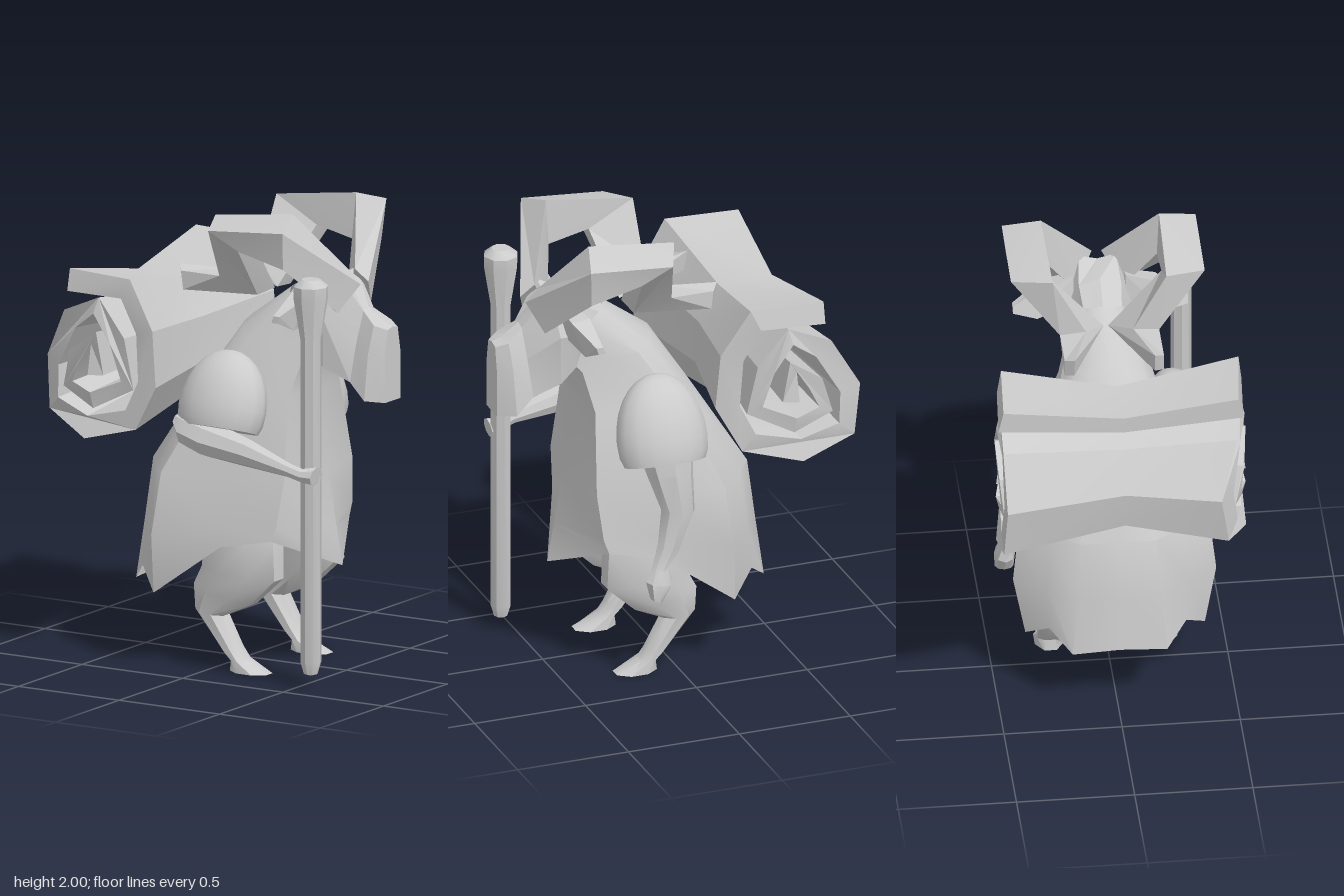
import * as THREE from 'three';
import { toCreasedNormals } from 'three/addons/utils/BufferGeometryUtils.js';

const mat = new THREE.MeshStandardMaterial({ color: 0xcccccc, side: THREE.DoubleSide });

function part(parent, name, geometry, crease = 0.6) {
  const mesh = new THREE.Mesh(toCreasedNormals(geometry, crease), mat);
  mesh.name = name;
  parent.add(mesh);
  return mesh;
}

// Skin a list of closed rings (arrays of [x, y, z]), optionally capped by fans
function loft(rings, capped = true) {
  const n = rings[0].length, pos = rings.flat(2), idx = [];
  for (let r = 0; r < rings.length - 1; r++) {
    for (let i = 0; i < n; i++) {
      const a = r * n + i, b = r * n + (i + 1) % n;
      idx.push(a, b, b + n, a, b + n, a + n);
    }
  }
  if (capped) {
    const last = (rings.length - 1) * n;
    for (let i = 1; i < n - 1; i++) {
      idx.push(0, i + 1, i, last, last + i, last + i + 1);
    }
  }
  const g = new THREE.BufferGeometry();
  g.setAttribute('position', new THREE.Float32BufferAttribute(pos, 3));
  g.setIndex(idx);
  return g;
}

// Oval sections: [x1, y1, x2, y2, z, half width], the two points being opposite edges
function ovals(rows, turn = 0) {
  return loft(rows.map(([x1, y1, x2, y2, z, w]) => Array.from({ length: 8 }, (_, i) => {
    const a = (i / 8) * Math.PI * 2 + turn, c = Math.cos(a) / 2;
    return [(x1 + x2) / 2 + (x1 - x2) * c, (y1 + y2) / 2 + (y1 - y2) * c, z + w * Math.sin(a)];
  })));
}

// Half rings from one midline point to the other, mirrored across z
const mirrorRing = half => [...half, ...half.slice(1, -1).reverse().map(([x, y, z]) => [x, y, -z])];

function bundleGeometry() {
  // Spiral blanket, thickened from a centre line
  const line = [[-0.57, 1.65], [-0.27, 1.65], [-0.18, 1.47], [-0.16, 1.25], [-0.24, 1.09], [-0.47, 1.03],
    [-0.67, 1.1], [-0.69, 1.28], [-0.57, 1.48], [-0.42, 1.56], [-0.31, 1.42], [-0.27, 1.23], [-0.44, 1.15],
    [-0.58, 1.2], [-0.53, 1.33], [-0.43, 1.42], [-0.42, 1.26]].map(p => new THREE.Vector2(...p));
  const outer = [], inner = [];
  line.forEach((p, i) => {
    const d = line[Math.min(i + 1, line.length - 1)].clone().sub(line[Math.max(i - 1, 0)]).normalize();
    const t = i < 9 ? 0.047 : 0.035;
    outer.push(new THREE.Vector2(p.x - d.y * t, p.y + d.x * t));
    inner.push(new THREE.Vector2(p.x + d.y * t, p.y - d.x * t));
  });
  const g = new THREE.ExtrudeGeometry(new THREE.Shape([...outer, ...inner.reverse()]),
    { depth: 2, steps: 2, bevelEnabled: false });
  g.translate(0, 0, -1);
  // Pinch the middle; slant the ends and leave them slightly ragged
  const p = g.attributes.position;
  for (let i = 0; i < p.count; i++) {
    const x = p.getX(i), y = p.getY(i), z = p.getZ(i);
    const s = 0.76 + 0.24 * Math.abs(z);
    const slant = Math.max(0, -z * (x + 0.42) / 0.3);
    const end = 0.52 - 0.1 * slant ** 2 + 0.012 * Math.sin(17 * x + 23 * y);
    p.setXYZ(i, -0.42 + (x + 0.42) * s, 1.33 + (y - 1.33) * s, z * end);
  }
  g.deleteAttribute('uv');
  return g;
}

// Dome with a flat underside
function capGeometry() {
  const g = new THREE.SphereGeometry(1, 16, 14);
  const p = g.attributes.position;
  for (let i = 0; i < p.count; i++) p.setY(i, Math.max(p.getY(i), -0.36));
  return g;
}

export function createModel() {
  const model = new THREE.Group();

  // Robe, from ragged hem to collar
  part(model, 'robe', loft([
    [[0.48, 0.45, 0], [0.32, 0.59, 0.31], [0.1, 0.55, 0.36], [-0.22, 0.32, 0.38], [-0.33, 0.41, 0.29],
      [-0.42, 0.33, 0.2], [-0.42, 0.34, 0]],
    [[0.45, 0.62, 0], [0.34, 0.65, 0.3], [0.1, 0.64, 0.35], [-0.2, 0.58, 0.43], [-0.31, 0.6, 0.3],
      [-0.39, 0.58, 0.18], [-0.39, 0.58, 0]],
    [[0.41, 0.85, 0], [0.36, 0.85, 0.27], [0.12, 0.85, 0.33], [-0.17, 0.85, 0.4], [-0.28, 0.85, 0.28],
      [-0.36, 0.85, 0.16], [-0.36, 0.85, 0]],
    [[0.37, 1.2, 0], [0.34, 1.2, 0.2], [0.1, 1.2, 0.25], [-0.02, 1.2, 0.25], [-0.08, 1.22, 0.2],
      [-0.12, 1.24, 0.1], [-0.12, 1.25, 0]],
    [[0.4, 1.35, 0], [0.37, 1.36, 0.13], [0.25, 1.42, 0.17], [0.14, 1.44, 0.18], [0.07, 1.45, 0.14],
      [0.04, 1.47, 0.07], [0.03, 1.48, 0]],
    [[0.5, 1.42, 0], [0.46, 1.46, 0.08], [0.36, 1.56, 0.11], [0.3, 1.6, 0.1], [0.27, 1.62, 0.08],
      [0.25, 1.63, 0.04], [0.25, 1.64, 0]],
  ].map(mirrorRing), false));

  // Head with broad cheeks and a drooping, flared muzzle
  part(model, 'head', loft([
    [[0.24, 1.62, 0], [0.26, 1.6, 0.08], [0.3, 1.52, 0.11], [0.36, 1.4, 0.1], [0.38, 1.36, 0]],
    [[0.38, 1.69, 0], [0.38, 1.66, 0.09], [0.38, 1.54, 0.14], [0.4, 1.38, 0.12], [0.4, 1.34, 0]],
    [[0.5, 1.71, 0], [0.5, 1.73, 0.08], [0.48, 1.55, 0.16], [0.47, 1.33, 0.14], [0.47, 1.3, 0]],
    [[0.61, 1.58, 0], [0.61, 1.57, 0.04], [0.6, 1.44, 0.08], [0.58, 1.27, 0.1], [0.56, 1.25, 0]],
    [[0.68, 1.53, 0], [0.68, 1.52, 0.07], [0.67, 1.4, 0.1], [0.66, 1.2, 0.115], [0.64, 1.22, 0]],
    [[0.73, 1.51, 0], [0.73, 1.5, 0.04], [0.73, 1.4, 0.06], [0.73, 1.19, 0.06], [0.73, 1.19, 0]],
  ].map(mirrorRing)), 0.3);

  for (const side of [1, -1]) {
    const half = new THREE.Group();
    half.name = side > 0 ? 'staffSide' : 'freeSide';
    half.scale.z = side;
    model.add(half);

    // Square horn, bent back and curled outward at the tip
    part(half, 'horn', loft([
      [[0.53, 1.73, 0.02], [0.59, 1.68, 0.03], [0.54, 1.57, 0.13], [0.44, 1.6, 0.1]],
      [[0.39, 2.0, 0.25], [0.44, 1.95, 0.41], [0.43, 1.79, 0.39], [0.38, 1.8, 0.24]],
      [[0.0, 1.95, 0.24], [0.07, 1.92, 0.41], [0.2, 1.84, 0.38], [0.2, 1.84, 0.24]],
      [[0.0, 1.69, 0.1], [0.0, 1.68, 0.21], [0.14, 1.6, 0.13], [0.15, 1.61, 0.01]],
      [[-0.22, 1.7, 0.17], [-0.19, 1.68, 0.21], [-0.18, 1.6, 0.21], [-0.2, 1.61, 0.17]],
    ]), 0.3);

    // Leaf-shaped ear
    part(half, 'ear', loft([
      [[0.47, 1.67, 0.11], [0.41, 1.68, 0.11], [0.39, 1.56, 0.11], [0.45, 1.54, 0.11]],
      [[0.46, 1.65, 0.24], [0.38, 1.66, 0.24], [0.34, 1.53, 0.27], [0.42, 1.51, 0.29]],
      [[0.4, 1.58, 0.37], [0.37, 1.58, 0.37], [0.36, 1.55, 0.37], [0.39, 1.55, 0.37]],
    ]), 0.1);

    // Goat leg: heavy thigh, backward hock, hoof
    part(half, 'leg', ovals([
      [0.28, 0.72, 0.0, 0.72, 0.21, 0.1],
      [0.32, 0.57, -0.05, 0.56, 0.23, 0.11],
      [0.33, 0.41, -0.06, 0.44, 0.24, 0.095],
      [0.2, 0.29, -0.1, 0.36, 0.24, 0.08],
      [0.06, 0.23, -0.09, 0.25, 0.24, 0.067],
      [0.13, 0.1, 0.05, 0.08, 0.24, 0.06],
      [0.16, 0.05, 0.09, 0.05, 0.24, 0.06],
      [0.275, 0, 0.08, 0, 0.24, 0.067],
    ], Math.PI / 8), 0.7);

    // Rounded shoulder cap, longer over the hanging arm
    const cap = part(half, 'shoulderCap', capGeometry(), 0.9);
    cap.scale.set(0.2, side > 0 ? 0.25 : 0.28, 0.14);
    cap.position.set(0.085, side > 0 ? 1.14 : 1.09, 0.32);
    cap.rotation.x = -0.32;
  }

  // Bent arm reaching to the staff
  part(model, 'staffArm', ovals([
    [-0.1, 1.11, -0.1, 1.05, 0.36, 0.06],
    [-0.04, 1.12, -0.06, 0.98, 0.37, 0.1],
    [0.08, 1.1, 0.06, 0.945, 0.4, 0.09],
    [0.28, 1.05, 0.26, 0.93, 0.42, 0.055],
    [0.48, 0.97, 0.47, 0.91, 0.42, 0.03],
    [0.54, 0.95, 0.54, 0.89, 0.41, 0.03],
    [0.6, 0.96, 0.59, 0.88, 0.39, 0.05],
  ]));

  // Arm hanging at the other side
  part(model, 'hangingArm', ovals([
    [0.22, 1.12, -0.05, 1.12, -0.34, 0.1],
    [0.18, 0.97, -0.03, 0.97, -0.38, 0.08],
    [0.12, 0.8, -0.03, 0.78, -0.4, 0.06],
    [0.14, 0.64, 0.04, 0.62, -0.41, 0.045],
    [0.17, 0.55, 0.09, 0.53, -0.42, 0.03],
    [0.2, 0.49, 0.08, 0.47, -0.43, 0.045],
    [0.18, 0.41, 0.13, 0.4, -0.43, 0.04],
  ]));

  // Walking staff with a swollen top
  const profile = [[0, 0.05], [0.03, 0.06], [0.045, 0.11], [0.045, 1.5], [0.075, 1.68], [0.075, 1.73], [0.04, 1.76], [0, 1.76]];
  const staff = part(model, 'staff', new THREE.LatheGeometry(profile.map(p => new THREE.Vector2(...p)), 8), 0.6);
  staff.position.set(0.55, 0, 0.36);

  // Rolled blanket on the back
  part(model, 'bedroll', bundleGeometry(), 0.35);

  return model;
}
